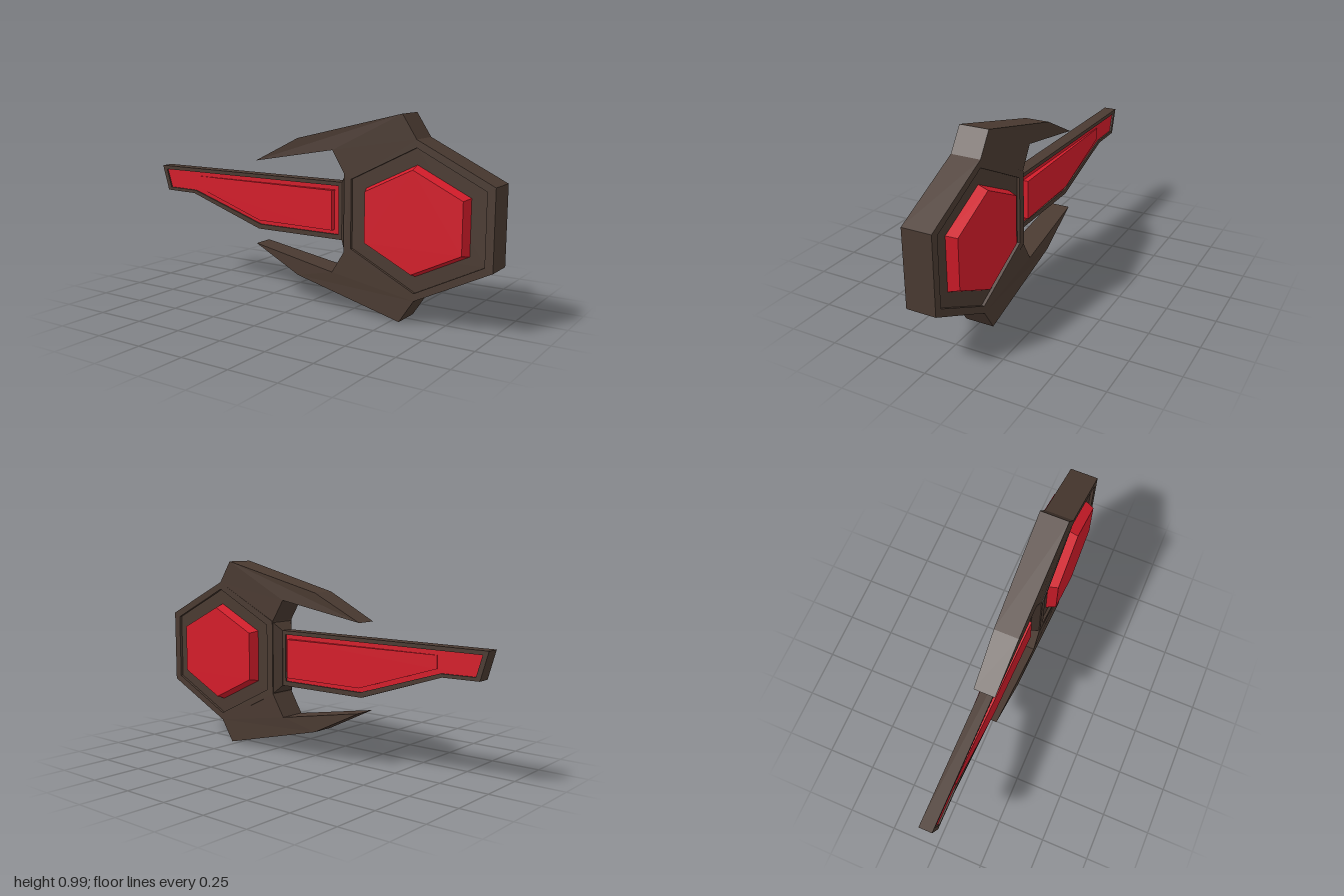
import * as THREE from 'three';

const MID_Y = 0.495;   // height of the horizontal axis of symmetry
const HEX_X = 0.615;   // centre of the hexagonal head

const brown = new THREE.MeshStandardMaterial({ color: 0x4a3a31, flatShading: true });
const red = new THREE.MeshStandardMaterial({ color: 0xd41c2a, flatShading: true });

const toVectors = pts => pts.map(([x, y]) => new THREE.Vector2(x, y));

// Stretched hexagon with vertical sides
const hexagon = (rx, ry, sideY) =>
  [[rx, -sideY], [rx, sideY], [0, ry], [-rx, sideY], [-rx, -sideY], [0, -ry]]
    .map(([x, y]) => [x + HEX_X, y]);

// Slab centred on z = 0; halfDepth is a function of x
function slab(name, material, outline, halfDepth, hole) {
  const shape = new THREE.Shape(toVectors(outline));
  if (hole) shape.holes.push(new THREE.Path(toVectors(hole)));
  const geo = new THREE.ExtrudeGeometry(shape, { depth: 2, bevelEnabled: false });
  const p = geo.attributes.position;
  for (let i = 0; i < p.count; i++) p.setZ(i, (p.getZ(i) - 1) * halfDepth(p.getX(i)));
  geo.computeVertexNormals();
  const mesh = new THREE.Mesh(geo, material);
  mesh.name = name;
  return mesh;
}

// Linear interpolation through [x, value] stops
const ramp = stops => x => {
  for (let i = 1; i < stops.length; i++) {
    const [x0, a] = stops[i - 1], [x1, b] = stops[i];
    if (x <= x1) return a + (b - a) * Math.max(0, (x - x0) / (x1 - x0));
  }
  return stops[stops.length - 1][1];
};

// Gem that shows on both faces, with its outer faces tapered
function gem() {
  const shape = new THREE.Shape(toVectors(hexagon(0.27, 0.265, 0.134)));
  const geo = new THREE.ExtrudeGeometry(shape, { depth: 3, steps: 3, bevelEnabled: false });
  const p = geo.attributes.position;
  const levels = [-0.11, -0.055, 0.055, 0.11];
  for (let i = 0; i < p.count; i++) {
    const level = Math.round(p.getZ(i));
    const s = level === 0 || level === 3 ? 0.925 : 1;
    p.setXYZ(i, HEX_X + (p.getX(i) - HEX_X) * s, p.getY(i) * s, levels[level]);
  }
  geo.computeVertexNormals();
  const mesh = new THREE.Mesh(geo, red);
  mesh.name = 'gem';
  return mesh;
}

export function createModel() {
  const group = new THREE.Group();
  group.name = 'hexHeadedBlade';
  const body = new THREE.Group();
  body.name = 'body';
  body.position.y = MID_Y;
  group.add(body);

  // Head: raised rim around a shallow recess, with the gem through it
  const recess = hexagon(0.345, 0.343, 0.171);
  body.add(slab('headRim', brown, hexagon(0.385, 0.381, 0.192), () => 0.075, recess));
  body.add(slab('headPlate', brown, recess, () => 0.06));
  body.add(gem());

  // Swept prongs, mirrored above and below
  const prong = [[-0.32, 0.22], [0.16, 0.305], [0.23, 0.192], [0.615, 0.381], [0.54, 0.495], [-0.05, 0.352]];
  const prongDepth = ramp([[-0.32, 0.055], [0.16, 0.071], [0.54, 0.075]]);
  for (const side of [1, -1]) {
    const outline = prong.map(([x, y]) => [x, y * side]);
    body.add(slab(side > 0 ? 'upperProng' : 'lowerProng', brown, outline, prongDepth));
  }

  // Neck flaring from the blade to the head
  body.add(slab('neck', brown, [[0.195, -0.145], [0.235, -0.192], [0.235, 0.192], [0.195, 0.145]],
    ramp([[0.195, 0.036], [0.235, 0.074]])));

  // Blade: frame, recessed inlay and a wedge-shaped raised panel
  const inlay = [[-0.94, 0.025], [-0.76, 0.022], [-0.31, -0.12], [0.175, -0.12], [0.175, 0.125], [-0.97, 0.125]];
  body.add(slab('bladeFrame', brown,
    [[-0.96, 0.008], [-0.77, 0.005], [-0.32, -0.145], [0.2, -0.145], [0.2, 0.145], [-1, 0.145]],
    () => 0.034, inlay));
  body.add(slab('bladeInlay', red, inlay, () => 0.026));
  body.add(slab('bladePanel', red,
    [[-0.74, 0.04], [-0.31, -0.098], [0.147, -0.098], [0.147, 0.103], [-0.74, 0.103]],
    ramp([[-0.74, 0.031], [0.147, 0.054]])));

  return group;
}
